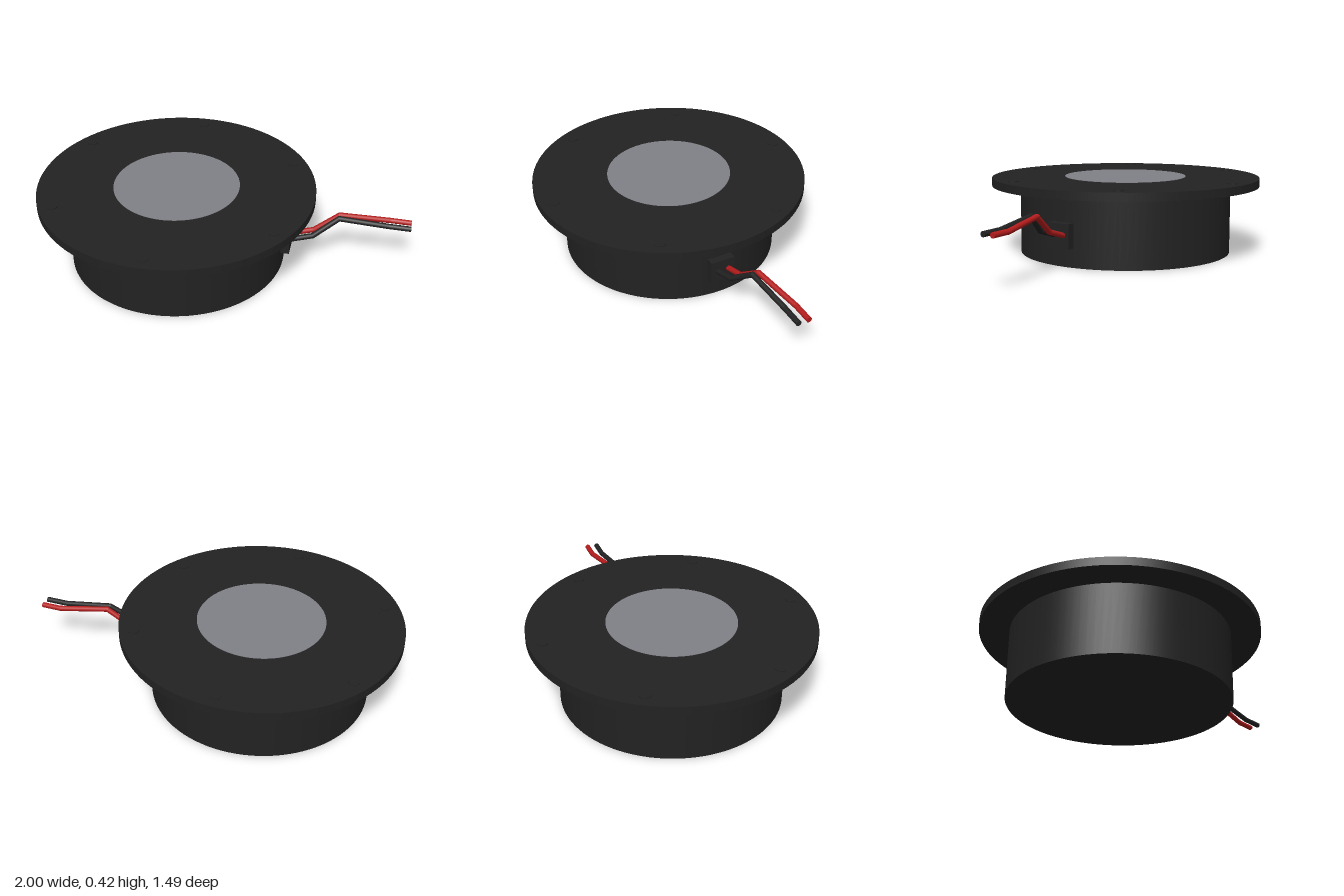
import * as THREE from 'three';

const mat = (name, color) => {
  const m = new THREE.MeshStandardMaterial({ color });
  m.name = name;
  return m;
};

export function createModel() {
  const black = mat('black', 0x222222);
  const grey = mat('grey', 0x808087);
  const red = mat('red', 0xb51c1c);

  const model = new THREE.Group();
  const cx = -0.255; // axis of the round housing

  const add = (parent, name, geometry, material, x, y, z) => {
    const mesh = new THREE.Mesh(geometry, material);
    mesh.name = name;
    mesh.position.set(x, y, z);
    parent.add(mesh);
    return mesh;
  };
  const disc = (name, radius, y0, y1, material, x = cx, z = 0, sides = 96) =>
    add(model, name, new THREE.CylinderGeometry(radius, radius, y1 - y0, sides), material, x, (y0 + y1) / 2, z);

  // Round housing, wide mounting flange and the pale window in its middle
  disc('housing', 0.587, 0, 0.376, black);
  disc('flange', 0.745, 0.375, 0.42, black);
  disc('window', 0.338, 0.418, 0.422, grey);

  // Six low screw heads around the flange
  for (let i = 0; i < 6; i++) {
    const a = Math.PI / 6 + (i * Math.PI) / 3;
    disc('screwHead', 0.028, 0.415, 0.424, black, cx + 0.67 * Math.cos(a), 0.67 * Math.sin(a), 24);
  }

  // Cable outlet block on the side
  add(model, 'cableOutlet', new THREE.BoxGeometry(0.06, 0.132, 0.134), black, 0.343, 0.168, 0.002);

  // A wire made of straight lengths with rounded bends
  const wire = (name, material, points) => {
    const group = new THREE.Group();
    group.name = name;
    const r = 0.0145;
    const pts = points.map((p) => new THREE.Vector3(...p));
    for (let i = 1; i < pts.length; i++) {
      const dir = pts[i].clone().sub(pts[i - 1]);
      const mid = pts[i].clone().add(pts[i - 1]).multiplyScalar(0.5);
      const length = add(group, 'wireLength', new THREE.CylinderGeometry(r, r, dir.length(), 16), material, mid.x, mid.y, mid.z);
      length.quaternion.setFromUnitVectors(new THREE.Vector3(0, 1, 0), dir.normalize());
      if (i < pts.length - 1) {
        add(group, 'wireBend', new THREE.SphereGeometry(r, 16, 10), material, pts[i].x, pts[i].y, pts[i].z);
      }
    }
    model.add(group);
  };
  wire('redWire', red, [
    [0.36, 0.17, -0.03], [0.49, 0.208, -0.034], [0.62, 0.304, -0.058], [0.89, 0.274, -0.106], [1, 0.272, -0.106],
  ]);
  wire('blackWire', black, [
    [0.36, 0.17, 0.032], [0.49, 0.208, 0.024], [0.62, 0.304, -0.024], [0.88, 0.274, -0.049], [1, 0.272, -0.049],
  ]);

  return model;
}
